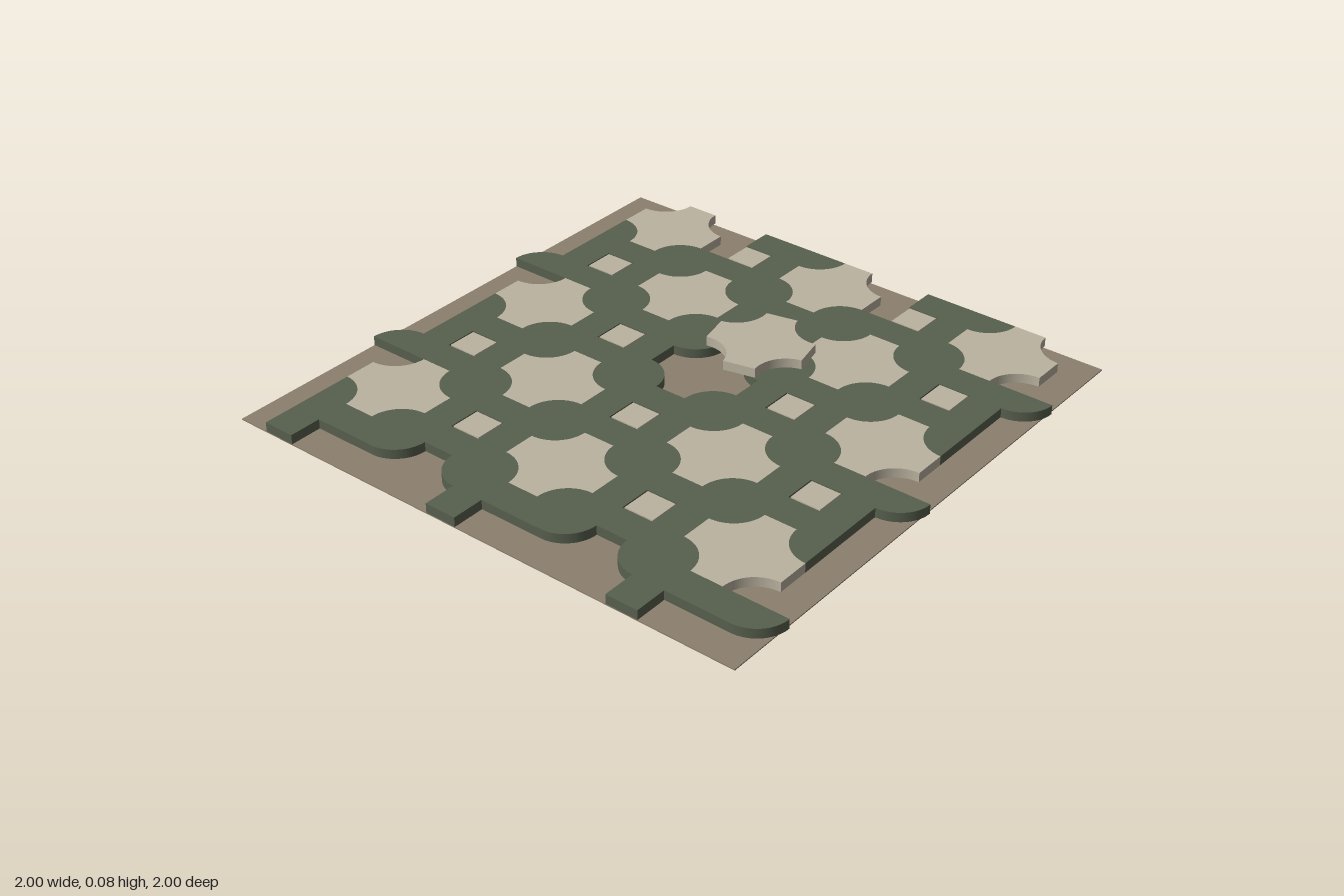
import * as THREE from 'three';

const U = 2 / 17;        // width of one weave cell
const TOP = 0.038;       // height of the laid tiles
const THICK = 0.034;

const make = (name, color) => {
  const m = new THREE.MeshStandardMaterial({ color });
  m.name = name;
  return m;
};

// Extrudes a plan outline (x, z in cells) downward from y = 0
function slab(shape, segments = 14) {
  const geo = new THREE.ExtrudeGeometry(shape, { depth: THICK, bevelEnabled: false, curveSegments: segments });
  geo.rotateX(Math.PI / 2);
  return geo.scale(U, 1, U);
}

// Bar of three cells with one rounded end corner
function barShape() {
  const s = new THREE.Shape();
  s.moveTo(0, 0);
  s.lineTo(2, 0);
  s.lineTo(3, 0);
  s.absarc(2, 0, 1, 0, Math.PI / 2, false);
  s.lineTo(0, 1);
  s.closePath();
  return s;
}

// Three-cell square with a quarter circle bitten from each corner
function starShape() {
  const s = new THREE.Shape();
  const h = 1.5, q = Math.PI / 2;
  s.moveTo(-0.5, -h);
  s.lineTo(0.5, -h);
  s.absarc(h, -h, 1, 2 * q, q, true);
  s.lineTo(h, 0.5);
  s.absarc(h, h, 1, 3 * q, 2 * q, true);
  s.lineTo(-0.5, h);
  s.absarc(-h, h, 1, 0, -q, true);
  s.lineTo(-h, -0.5);
  s.absarc(-h, -h, 1, q, 0, true);
  return s;
}

function squareShape() {
  const s = new THREE.Shape();
  const a = 0.04, b = 0.96;
  s.moveTo(a, a);
  s.lineTo(b, a);
  s.lineTo(b, b);
  s.lineTo(a, b);
  s.closePath();
  return s;
}

export function createModel() {
  const model = new THREE.Group();
  model.name = 'wovenTileFloor';
  const green = make('mossGreen', 0x57604e);
  const stone = make('paleStone', 0xbbb3a0);
  const mortar = make('brownMortar', 0x8c7f6e);

  // Thin mortar bed
  const bed = new THREE.Mesh(new THREE.BoxGeometry(1.99, 0.004, 1.99), mortar);
  bed.name = 'mortarBed';
  bed.position.set(-0.005, 0.002, -0.005);
  model.add(bed);

  const barGeo = slab(barShape());
  const starGeo = slab(starShape());
  const squareGeo = slab(squareShape());

  const place = (name, geo, mat, gx, gz, turn = 0) => {
    const m = new THREE.Mesh(geo, mat);
    m.name = name;
    m.position.set(gx * U - 1, TOP, gz * U - 1);
    m.rotation.y = turn;
    model.add(m);
    return m;
  };

  // Visits the staggered lattice: every second row is shifted by half a period
  const lattice = (x0, z0, maxX, fn) => {
    for (let k = 0; k < 5; k++) {
      for (let x = (x0 + 3 * k) % 6; x <= maxX; x += 6) fn(x, z0 + 3 * k);
    }
  };

  // Four families of interlocking bars
  const q = Math.PI / 2;
  lattice(0, 1, 14, (x, z) => place('crossBar', barGeo, green, x, z));
  lattice(4, 3, 14, (x, z) => place('crossBar', barGeo, green, x + 3, z + 1, 2 * q));
  lattice(5, 0, 16, (x, z) => place('uprightBar', barGeo, green, x, z + 3, q));
  lattice(1, 2, 16, (x, z) => place('uprightBar', barGeo, green, x + 1, z, -q));

  // Small square fillers
  lattice(6, 2, 16, (x, z) => { if (x > 0) place('squareTile', squareGeo, stone, x, z); });

  // Star tiles; the middle one lies loose on top
  lattice(2, 1, 14, (x, z) => {
    if (x === 8 && z === 7) return;
    place('starTile', starGeo, stone, x + 1.5, z + 1.5);
  });
  const loose = place('looseStarTile', starGeo, stone, 0, 0, 0.22);
  loose.position.set(0.335, 0.075, 0.067);
  loose.scale.set(0.98, 1, 0.98);

  return model;
}
